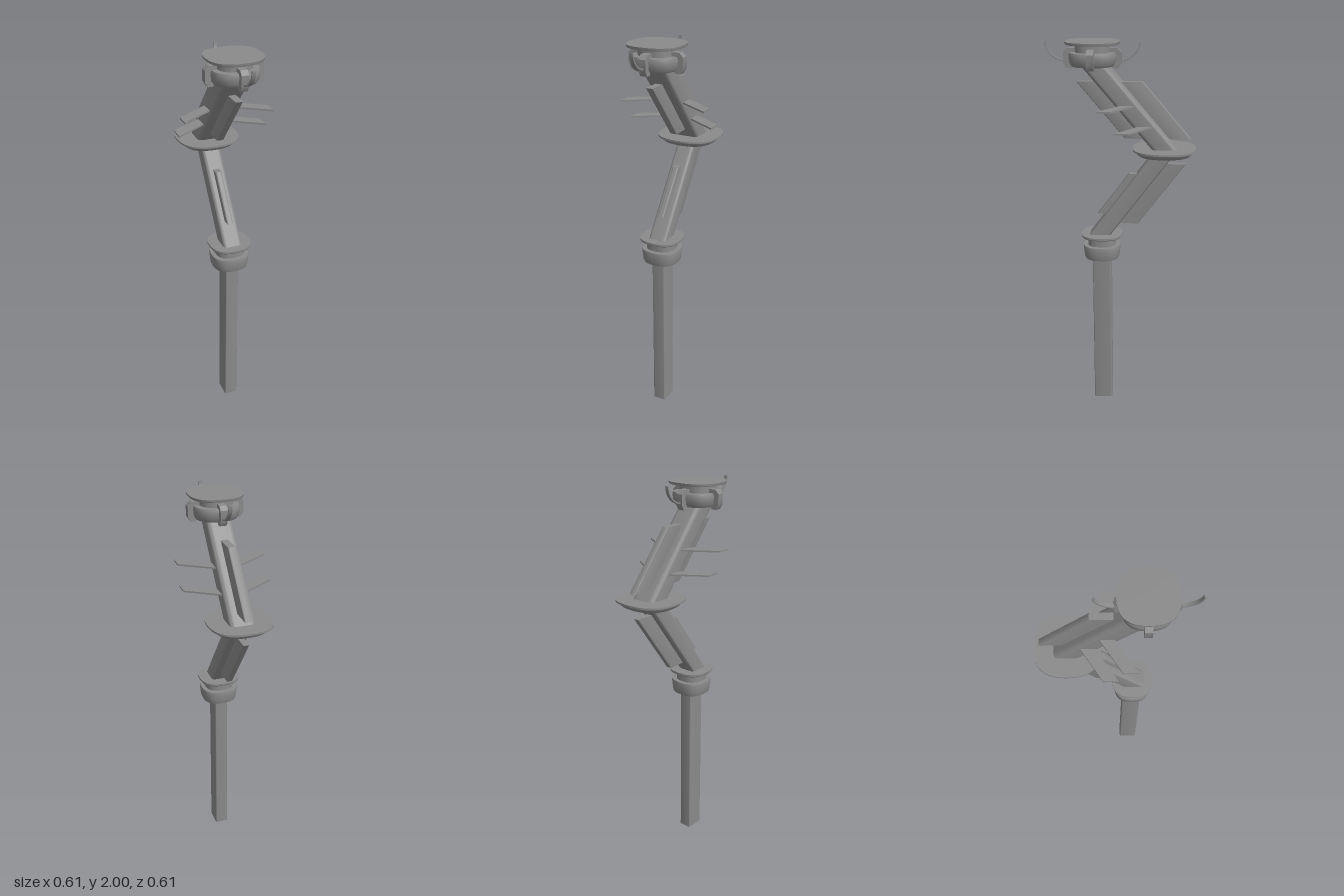
import * as THREE from 'three';
import { toCreasedNormals } from 'three/addons/utils/BufferGeometryUtils.js';

// The post bends in one vertical plane: local x runs along the bend, local z across it.
const mat = new THREE.MeshStandardMaterial({ color: 0x8a8a8a, side: THREE.DoubleSide });

function addMesh(parent, name, geo) {
  const mesh = new THREE.Mesh(toCreasedNormals(geo, 0.6), mat);
  mesh.name = name;
  parent.add(mesh);
  return mesh;
}

function roundedRect(x0, x1, width, r) {
  const h = width / 2, s = new THREE.Shape();
  s.moveTo(x0 + r, -h);
  s.lineTo(x1 - r, -h);
  s.quadraticCurveTo(x1, -h, x1, -h + r);
  s.lineTo(x1, h - r);
  s.quadraticCurveTo(x1, h, x1 - r, h);
  s.lineTo(x0 + r, h);
  s.quadraticCurveTo(x0, h, x0, h - r);
  s.lineTo(x0, -h + r);
  s.quadraticCurveTo(x0, -h, x0 + r, -h);
  return s;
}

// Horizontal section swept upward from y0 to y1, leaning along a line
function leaning(shape, y0, y1, line) {
  const geo = new THREE.ExtrudeGeometry(shape, { depth: y1 - y0, bevelEnabled: false, curveSegments: 6 });
  geo.rotateX(-Math.PI / 2).translate(0, y0, 0);
  const p = geo.attributes.position;
  for (let i = 0; i < p.count; i++) p.setX(i, p.getX(i) + line(p.getY(i)));
  return geo;
}

// Turned profile whose outline is slightly squared
function squaredLathe(profile, x) {
  const geo = new THREE.LatheGeometry(profile.map(([r, y]) => new THREE.Vector2(r, y)), 64);
  const p = geo.attributes.position;
  for (let i = 0; i < p.count; i++) {
    const f = 1 - 0.037 * Math.cos(4 * Math.atan2(p.getZ(i), p.getX(i)));
    p.setX(i, p.getX(i) * f);
    p.setZ(i, p.getZ(i) * f);
  }
  return geo.translate(x, 0, 0);
}

export function createModel() {
  const root = new THREE.Group();
  root.name = 'bentPost';
  const body = new THREE.Group();
  body.name = 'body';
  body.rotation.y = -Math.PI / 4;
  root.add(body);

  const footX = 0.143, kneeX = -0.184, headX = 0.18;
  const lowerLine = y => 0.145 - 0.75 * (y - 1);
  const upperLine = y => kneeX + 0.85 * (y - 1.46);

  // Straight post
  addMesh(body, 'post', leaning(roundedRect(-0.05, 0.05, 0.07, 0.008), 0, 0.9, () => footX));

  // Collar: hollow cup, neck and flange
  addMesh(body, 'collarCup', squaredLathe([
    [0, 0.885], [0.08, 0.885], [0.085, 0.86], [0.093, 0.861], [0.097, 0.872],
    [0.103, 0.925], [0.101, 0.934], [0, 0.936]], footX));
  addMesh(body, 'collarNeck', squaredLathe([[0, 0.93], [0.078, 0.93], [0.078, 0.982], [0, 0.982]], footX));
  addMesh(body, 'collarFlange', squaredLathe([[0, 0.98], [0.109, 0.98], [0.112, 0.984], [0.112, 0.994], [0, 0.995]], footX));

  // Two leaning arms
  addMesh(body, 'lowerArm', leaning(roundedRect(-0.056, 0.056, 0.098, 0.02), 0.985, 1.455, lowerLine));
  addMesh(body, 'upperArm', leaning(roundedRect(-0.07, 0.062, 0.132, 0.03), 1.455, 1.92, upperLine));

  // Fins along the inner and outer edges of the arms
  const fins = [
    ['lowerBackFin', -0.156, 0, 0.032, 1.053, 1.38, lowerLine],
    ['lowerFrontFin', 0, 0.097, 0.032, 1.105, 1.325, lowerLine],
    ['upperBackFin', -0.179, 0, 0.037, 1.512, 1.8, upperLine],
    ['upperFrontFin', 0, 0.159, 0.037, 1.512, 1.8, upperLine],
  ];
  for (const [name, x0, x1, w, y0, y1, line] of fins) {
    addMesh(body, name, leaning(roundedRect(x0, x1, w, 0.008), y0, y1, line));
  }

  // Knee disc: thin plate over a tapered hollow ring
  addMesh(body, 'kneePlate', squaredLathe([[0, 1.454], [0.169, 1.455], [0.169, 1.464], [0, 1.464]], kneeX));
  addMesh(body, 'kneeRing', squaredLathe([
    [0, 1.447], [0.105, 1.447], [0.108, 1.432], [0.137, 1.43], [0.149, 1.44], [0.155, 1.456]], kneeX));

  // Pairs of swept side blades
  for (const y of [1.58, 1.685]) {
    const c = upperLine(y) - 0.003;
    for (const side of [-1, 1]) {
      const s = new THREE.Shape();
      s.moveTo(c - 0.058, side * 0.03);
      s.lineTo(c + 0.013, side * 0.03);
      s.lineTo(c + 0.143, side * 0.228);
      s.lineTo(c + 0.072, side * 0.228);
      s.closePath();
      addMesh(body, 'sideBlade', leaning(s, y - 0.004, y + 0.004, () => 0));
    }
  }

  // Head: cup, neck and top disc
  addMesh(body, 'headCup', squaredLathe([
    [0, 1.89], [0.085, 1.89], [0.095, 1.876], [0.108, 1.878], [0.119, 1.893],
    [0.124, 1.93], [0.119, 1.945], [0, 1.948]], headX));
  addMesh(body, 'headNeck', squaredLathe([[0, 1.94], [0.09, 1.94], [0.09, 1.988], [0, 1.988]], headX));
  addMesh(body, 'headDisc', squaredLathe([[0, 1.984], [0.139, 1.985], [0.142, 1.99], [0.142, 1.998], [0, 2]], headX));

  // Four clips around the head
  for (let i = 0; i < 4; i++) {
    const holder = new THREE.Group();
    holder.name = 'headClip';
    holder.position.x = headX;
    holder.rotation.y = i * Math.PI / 2;
    body.add(holder);
    const s = new THREE.Shape();
    s.moveTo(0.085, 1.965);
    s.lineTo(0.125, 1.965);
    s.lineTo(0.145, 1.945);
    s.lineTo(0.145, 1.89);
    s.lineTo(0.13, 1.866);
    s.lineTo(0.105, 1.866);
    s.lineTo(0.085, 1.9);
    s.closePath();
    const geo = new THREE.ExtrudeGeometry(s, { depth: 0.036, bevelEnabled: false });
    addMesh(holder, 'clip', geo.translate(0, 0, -0.018));
  }

  // Upward curved hooks at the front and back of the head
  for (const turn of [0, Math.PI]) {
    const s = new THREE.Shape();
    s.absellipse(0.13, 1.995, 0.11, 0.098, -Math.PI / 2, 0, false);
    s.absellipse(0.13, 1.995, 0.102, 0.09, 0, -Math.PI / 2, true);
    s.closePath();
    const geo = new THREE.ExtrudeGeometry(s, { depth: 0.018, bevelEnabled: false, curveSegments: 16 });
    const hook = addMesh(body, 'headHook', geo.translate(0, 0, -0.009));
    hook.position.x = headX;
    hook.rotation.y = turn;
  }

  return root;
}
